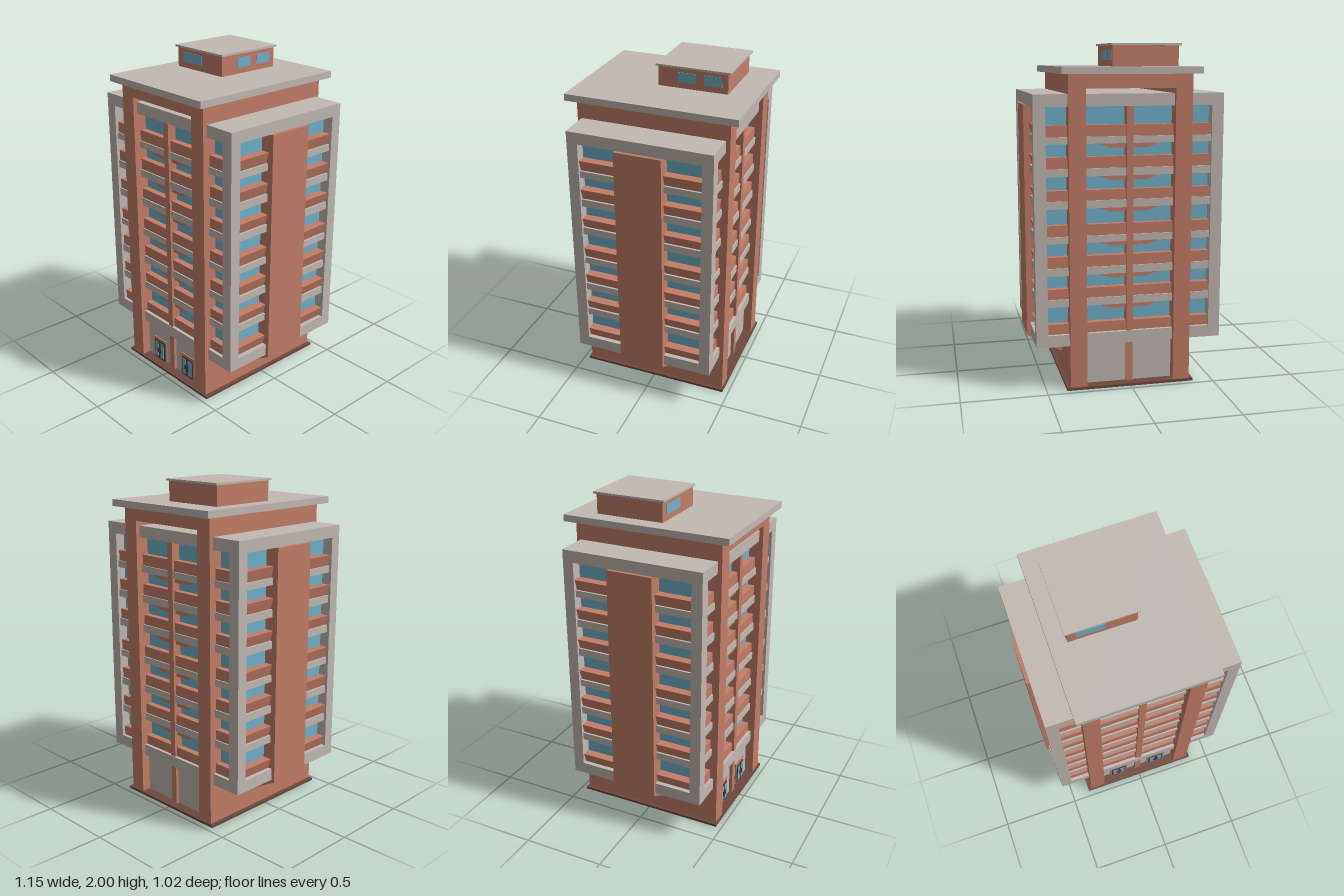
import * as THREE from 'three';

const mat = (name, color) => {
  const m = new THREE.MeshStandardMaterial({ color });
  m.name = name;
  return m;
};

export function createModel() {
  const brick = mat('brick', 0xc47d68);
  const stone = mat('stone', 0xc3b9b3);
  const glass = mat('glass', 0x70b2cc);
  const dark = mat('darkBrown', 0x6e483d);
  const doorDark = mat('doorFrame', 0x4a3733);
  const model = new THREE.Group();
  model.name = 'towerBlock';

  // Box given by its limits on each axis
  const box = (name, m, x0, x1, y0, y1, z0, z1) => {
    const mesh = new THREE.Mesh(new THREE.BoxGeometry(x1 - x0, y1 - y0, z1 - z0), m);
    mesh.position.set((x0 + x1) / 2, (y0 + y1) / 2, (z0 + z1) / 2);
    mesh.name = name;
    model.add(mesh);
    return mesh;
  };
  // Prism with an x-y outline between two z limits; side = -1 mirrors it in x
  const prism = (name, m, points, z0, z1, side = 1) => {
    const shape = new THREE.Shape(points.map(([x, y]) => new THREE.Vector2(x * side, y)));
    const geo = new THREE.ExtrudeGeometry(shape, { depth: z1 - z0, bevelEnabled: false });
    const mesh = new THREE.Mesh(geo, m);
    mesh.position.z = z0;
    mesh.name = name;
    model.add(mesh);
    return mesh;
  };

  // Base, ground floor walls and glazed core
  box('basePlate', dark, -0.382, 0.382, 0, 0.015, -0.465, 0.465);
  box('groundFloorWall', stone, -0.27, 0.27, 0.015, 0.27, -0.4, 0.4);
  box('windowCore', glass, -0.49, 0.49, 0.3, 1.68, -0.37, 0.37);

  // Stone slabs closing the bottom and top of the apartment floors
  box('lowerFrame', stone, -0.555, 0.555, 0.26, 0.33, -0.43, 0.43);
  box('upperFrame', stone, -0.555, 0.555, 1.65, 1.72, -0.43, 0.43);

  // Side walls, fins and corner piers
  for (const s of [-1, 1]) {
    const wall = box('sideWall', brick, -0.05, 0.05, 0.015, 1.83, -0.455, 0.455);
    wall.position.x = s * 0.31;
    prism('sideFin', brick, [[0.34, 0.12], [0.36, 0.13], [0.575, 0.25], [0.575, 1.65], [0.34, 1.65]], -0.14, 0.14, s);
    for (const f of [-1, 1]) {
      const pier = box('cornerPier', stone, -0.035, 0.035, 0.33, 1.65, -0.0325, 0.0325);
      pier.position.x = s * 0.52;
      pier.position.z = f * 0.3975;
    }
  }

  // Floors: [slab bottom, parapet bottom, parapet top]
  const floors = [
    [0.26, 0.33, 0.39], [0.495, 0.54, 0.6], [0.68, 0.725, 0.79], [0.87, 0.91, 0.975],
    [1.07, 1.115, 1.175], [1.255, 1.3, 1.365], [1.44, 1.48, 1.545],
  ];
  floors.forEach(([y0, y1, y2], i) => {
    if (i > 0) box('floorSlab', stone, -0.54, 0.54, y0, y1, -0.418, 0.418);
    box('frontAndBackParapet', brick, -0.5, 0.5, y1, y2, -0.41, 0.41);
    for (const s of [-1, 1]) {
      for (const z of [-0.37, 0.135]) {
        prism('sideParapet', brick, [[0.48, y1], [0.527, y1], [0.545, y2], [0.48, y2]], z, z + 0.235, s);
      }
    }
    // Shallow bracket under each slab
    if (i > 0) {
      const outline = [[-0.185, y0], [-0.11, y0 - 0.026], [0.11, y0 - 0.026], [0.185, y0]];
      prism('frontBracket', brick, outline, 0.36, 0.405);
      prism('backBracket', brick, outline, -0.405, -0.36);
    }
  });

  // Central mullions
  for (const f of [-1, 1]) {
    const upper = box('mullion', brick, -0.02, 0.02, 0.33, 1.65, -0.03, 0.03);
    upper.position.z = f * 0.395;
    const lower = box('groundMullion', brick, -0.02, 0.02, 0.015, 0.26, -0.03, 0.03);
    lower.position.z = f * 0.39;
  }

  // Entrances
  for (const c of [-0.138, 0.138]) {
    box('entranceSurround', brick, c - 0.062, c + 0.062, 0.015, 0.165, 0.39, 0.408);
    for (const s of [-1, 1]) {
      const d = c + s * 0.026;
      box('doorLeaf', doorDark, d - 0.024, d + 0.024, 0.018, 0.148, 0.4, 0.413);
      box('doorGlass', glass, d - 0.016, d + 0.016, 0.03, 0.138, 0.41, 0.416);
      box('doorHandle', doorDark, c + s * 0.011 - 0.007, c + s * 0.011 + 0.007, 0.07, 0.1, 0.412, 0.42);
    }
  }

  // Roof
  box('roofBeam', brick, -0.27, 0.27, 1.75, 1.83, -0.455, 0.455);
  box('roofSlab', stone, -0.404, 0.404, 1.83, 1.87, -0.51, 0.51);

  // Rooftop room
  box('roofRoom', brick, -0.305, 0.085, 1.87, 1.99, -0.345, 0.072);
  box('roofRoomCap', stone, -0.318, 0.096, 1.988, 2, -0.36, 0.083);
  box('roofRoomFrontWindow', glass, -0.257, -0.09, 1.905, 1.963, 0.07, 0.075);
  for (const z of [-0.31, -0.153]) {
    box('roofRoomSideWindow', glass, 0.083, 0.088, 1.905, 1.963, z, z + 0.107);
  }
  return model;
}
